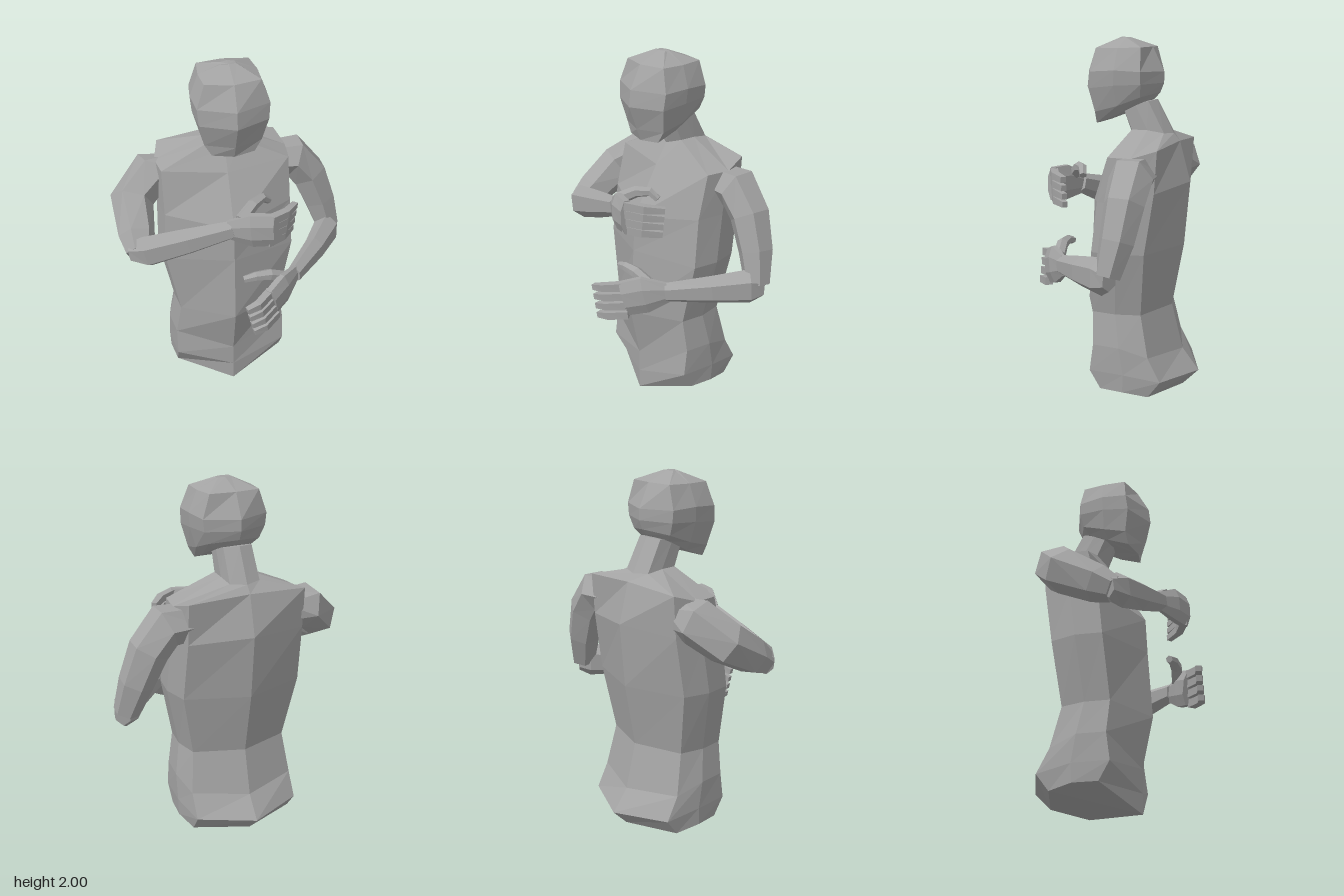
import * as THREE from 'three';

const Y = new THREE.Vector3(0, 1, 0);
const Z = new THREE.Vector3(0, 0, 1);
const mix = THREE.MathUtils.lerp;

// Skin a stack of equal-sized rings with faceted quads and close both ends
function loft(rings) {
  const n = rings[0].length, last = rings.length - 1;
  const points = [];
  for (let j = 0; j < n; j++) {
    const k = (j + 1) % n;
    for (let i = 0; i < last; i++) {
      const [a, b, c, d] = [rings[i][j], rings[i][k], rings[i + 1][k], rings[i + 1][j]];
      points.push(a, b, c, a, c, d);
    }
  }
  for (let j = 1; j < n - 1; j++) {
    points.push(rings[0][0], rings[0][j + 1], rings[0][j]);
    points.push(rings[last][0], rings[last][j], rings[last][j + 1]);
  }
  const geometry = new THREE.BufferGeometry().setFromPoints(points);
  geometry.computeVertexNormals();
  return geometry;
}

// Symmetric eight-point section: ridges front and back, corners and sides mirrored.
// jawDrop sets how far the front corners follow the side height.
function section(cx, cornerFollow, [yFront, zFront, halfWidth, ySide, zCorner, zRear, yBack, zBack]) {
  const half = [
    [0.95, mix(yFront, ySide, cornerFollow), zCorner],
    [1, ySide, mix(zCorner, zRear, 0.5)],
    [0.9, mix(ySide, yBack, 0.7), zRear],
  ];
  const place = (sign) => half.map(([w, y, z]) => new THREE.Vector3(cx + sign * w * halfWidth, y, z));
  return [
    new THREE.Vector3(cx, yFront, zFront), ...place(1),
    new THREE.Vector3(cx, yBack, zBack), ...place(-1).reverse(),
  ];
}

// Limb through stations [x, y, z, radius]; thin scales the radius across ref
function limb(stations, ref, thin = 1, sides = 6) {
  const centres = stations.map(([x, y, z]) => new THREE.Vector3(x, y, z));
  const last = centres.length - 1;
  return loft(centres.map((p, i) => {
    const along = centres[Math.min(i + 1, last)].clone().sub(centres[Math.max(i - 1, 0)]).normalize();
    const side = ref.clone().cross(along).normalize();
    const up = along.clone().cross(side);
    const r = stations[i][3];
    return Array.from({ length: sides }, (_, j) => {
      const q = ((j + 0.5) / sides) * Math.PI * 2;
      return p.clone().addScaledVector(side, r * thin * Math.cos(q)).addScaledVector(up, r * Math.sin(q));
    });
  }));
}

export function createModel() {
  const model = new THREE.Group();
  model.name = 'mannequinBust';
  const grey = new THREE.MeshStandardMaterial({ color: 0xa3a3a3 });
  grey.name = 'grey';
  const add = (name, geometry, parent = model) => {
    const mesh = new THREE.Mesh(geometry, grey);
    mesh.name = name;
    parent.add(mesh);
  };

  // Torso from the pelvis up through the shoulders to the neck
  const torso = [
    [0, 0.13, 0.33, 0.1, 0, -0.27, 0.07, -0.38],
    [0.11, 0.13, 0.335, 0.2, 0.06, -0.34, 0.16, -0.47],
    [0.24, 0.13, 0.335, 0.35, 0.04, -0.27, 0.28, -0.375],
    [0.52, 0.19, 0.305, 0.53, 0.05, -0.22, 0.53, -0.31],
    [0.9, 0.165, 0.38, 0.88, 0.03, -0.26, 0.88, -0.375],
    [1.1, 0.155, 0.37, 1.15, 0, -0.31, 1.23, -0.405],
    [1.37, 0, 0.37, 1.39, -0.06, -0.325, 1.45, -0.345],
    [1.48, -0.07, 0.095, 1.51, -0.1, -0.28, 1.49, -0.31],
    [1.64, -0.02, 0.09, 1.65, -0.04, -0.19, 1.67, -0.215],
  ];
  add('torsoAndNeck', loft(torso.map((row) => section(-0.04, 1, row))));

  // Faceted, featureless head with a tilted jaw
  const head = [
    [1.535, 0.115, 0.12, 1.59, 0.09, -0.15, 1.68, -0.21],
    [1.6, 0.14, 0.16, 1.64, 0.085, -0.17, 1.71, -0.235],
    [1.73, 0.19, 0.192, 1.75, 0.11, -0.18, 1.76, -0.255],
    [1.82, 0.18, 0.2, 1.83, 0.1, -0.18, 1.82, -0.255],
    [1.945, 0.115, 0.155, 1.945, 0.08, -0.17, 1.95, -0.19],
    [2, -0.01, 0.04, 1.995, -0.02, -0.05, 2, -0.06],
  ];
  add('head', loft(head.map((row) => section(-0.03, 0.15, row))));

  // One arm with its hand; four fingers repeat the first one at a fixed step
  const addArm = (side, upperRef, { upper, fore, palm, thumb, finger, step }) => {
    const arm = new THREE.Group();
    arm.name = side + 'Arm';
    model.add(arm);
    add(side + 'UpperArm', limb(upper, upperRef), arm);
    add(side + 'Forearm', limb(fore, Y, 0.75), arm);
    add(side + 'Palm', limb(palm, Y, 0.4, 8), arm);
    add(side + 'Thumb', limb(thumb, Y), arm);
    for (let k = 0; k < 4; k++) {
      const path = finger.map(([x, y, z, r]) => [x + step[0] * k, y + step[1] * k, z, r]);
      add(side + 'Finger' + (k + 1), limb(path, Y, 1, 4), arm);
    }
  };

  // Right arm folded across the chest
  addArm('right', new THREE.Vector3(0.6, 0.8, 0), {
    upper: [[-0.27, 1.3, -0.21, 0.1], [-0.43, 1.29, -0.22, 0.125], [-0.55, 1.19, -0.13, 0.12],
      [-0.557, 1.08, 0.06, 0.1], [-0.56, 1.03, 0.15, 0.07]],
    fore: [[-0.6, 1.03, 0.13, 0.06], [-0.52, 1.045, 0.165, 0.095], [-0.3, 1.11, 0.21, 0.08], [-0.07, 1.18, 0.255, 0.055]],
    palm: [[-0.09, 1.175, 0.25, 0.06], [0.02, 1.195, 0.305, 0.105], [0.13, 1.2, 0.335, 0.1]],
    thumb: [[-0.03, 1.24, 0.27, 0.035], [0.05, 1.29, 0.21, 0.032], [0.11, 1.295, 0.165, 0.026], [0.15, 1.26, 0.145, 0.02]],
    finger: [[0.115, 1.265, 0.335, 0.031], [0.21, 1.26, 0.285, 0.029], [0.28, 1.252, 0.205, 0.022]],
    step: [-0.006, -0.046],
  });

  // Left arm hanging, with the forearm across the belly
  addArm('left', Z, {
    upper: [[0.2, 1.3, -0.21, 0.1], [0.38, 1.3, -0.215, 0.12], [0.475, 1.18, -0.215, 0.11],
      [0.545, 1, -0.2, 0.095], [0.595, 0.83, -0.17, 0.07]],
    fore: [[0.62, 0.82, -0.19, 0.06], [0.58, 0.825, -0.13, 0.1], [0.46, 0.81, 0.03, 0.08], [0.29, 0.785, 0.21, 0.055]],
    palm: [[0.3, 0.785, 0.2, 0.06], [0.21, 0.765, 0.285, 0.11], [0.12, 0.73, 0.355, 0.105]],
    thumb: [[0.22, 0.82, 0.26, 0.035], [0.13, 0.865, 0.28, 0.033], [0.05, 0.87, 0.285, 0.027], [-0.015, 0.855, 0.28, 0.02]],
    finger: [[0.115, 0.8, 0.355, 0.031], [0.03, 0.785, 0.43, 0.029], [-0.035, 0.77, 0.445, 0.022]],
    step: [0.013, -0.051],
  });
  return model;
}
